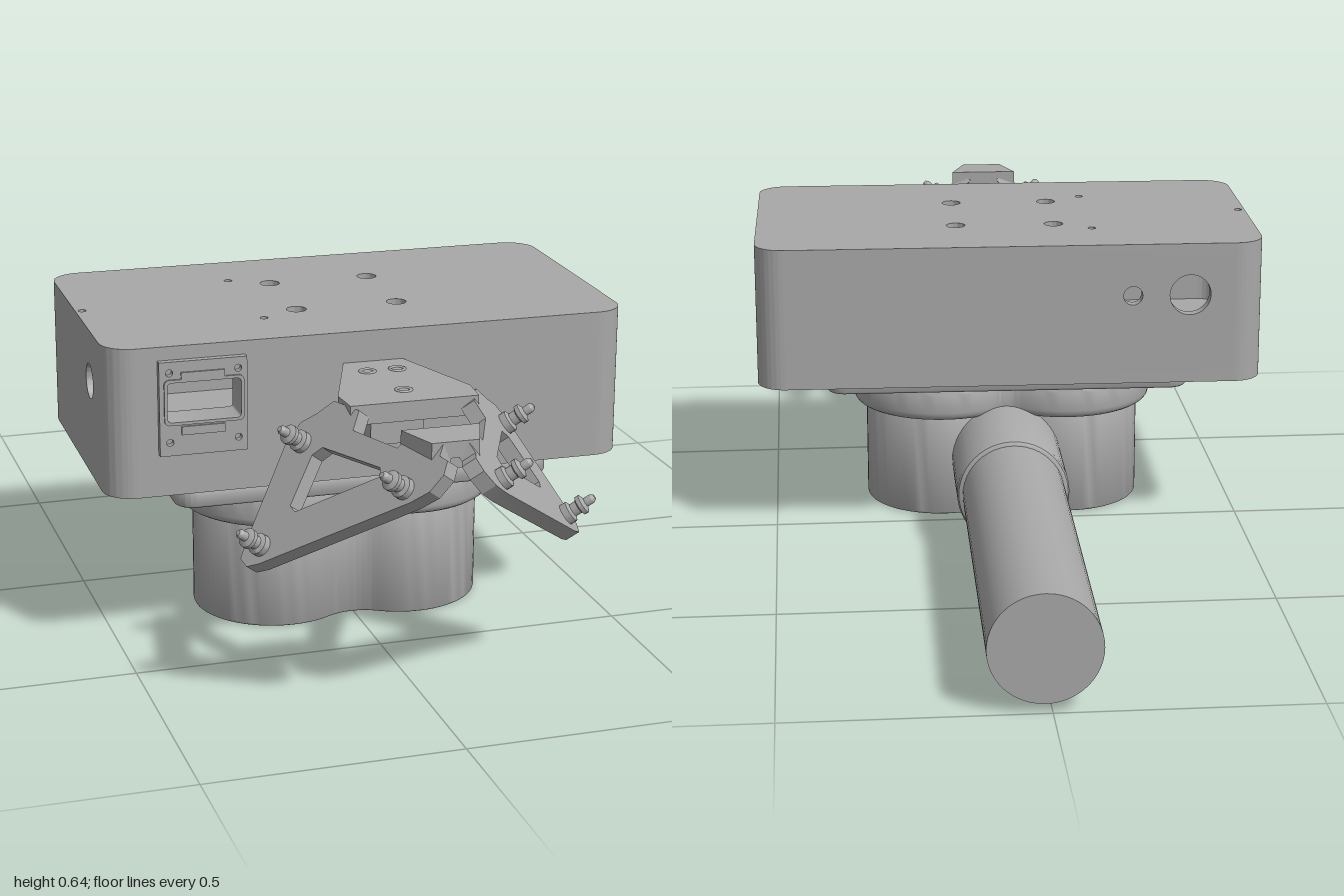
import * as THREE from 'three';
import { toCreasedNormals } from 'three/addons/utils/BufferGeometryUtils.js';

const grey = new THREE.MeshStandardMaterial({ color: 0xa8a8a8 });
grey.name = 'grey';

export function createModel() {
  const model = new THREE.Group();
  const body = new THREE.Group();
  body.name = 'cameraAssembly';
  body.rotation.y = -0.014; // whole assembly sits slightly askew
  model.add(body);

  const add = (name, geo, parent = body) => {
    const m = new THREE.Mesh(geo, grey);
    m.name = name;
    parent.add(m);
    return m;
  };
  const poly = (pts) => new THREE.Shape(pts.map(([x, y]) => new THREE.Vector2(x, y)));
  const rect = (x0, x1, y0, y1) => poly([[x0, y0], [x1, y0], [x1, y1], [x0, y1]]);
  const circle = (x, y, r) => new THREE.Path().absarc(x, y, r, 0, Math.PI * 2, true);
  const withHoles = (shape, holes) => { shape.holes.push(...holes); return shape; };
  const roundRect = (x0, x1, y0, y1, r) => {
    const s = new THREE.Shape();
    s.absarc(x1 - r, y1 - r, r, 0, Math.PI / 2);
    s.absarc(x0 + r, y1 - r, r, Math.PI / 2, Math.PI);
    s.absarc(x0 + r, y0 + r, r, Math.PI, Math.PI * 1.5);
    s.absarc(x1 - r, y0 + r, r, Math.PI * 1.5, Math.PI * 2);
    s.closePath();
    return s;
  };
  const extrude = (shape, depth, b = 0) => {
    const g = new THREE.ExtrudeGeometry(shape, {
      depth: depth - 2 * b, bevelEnabled: b > 0, bevelSize: b, bevelThickness: b,
      bevelOffset: -b, bevelSegments: 4, curveSegments: 20,
    });
    return toCreasedNormals(g.translate(0, 0, b), 0.6);
  };
  // horizontal slab from a plan drawn in x and z
  const slab = (shape, y0, y1, b = 0) =>
    extrude(shape, y1 - y0, b).rotateX(Math.PI / 2).translate(0, y1, 0);

  // --- hollow housing
  const X = 0.53, Z0 = -0.123, Z1 = 0.457, Y0 = 0.345, Y1 = 0.645, T = 0.025, R = 0.06;
  const topHoles = [
    ...[[-0.103, 0.067], [0.106, 0.067], [-0.103, 0.272], [0.106, 0.272]].map(([x, z]) => circle(x, z, 0.02)),
    ...[[-0.181, 0.024], [-0.181, 0.315], [-0.516, 0.167]].map(([x, z]) => circle(x, z, 0.008)),
  ];
  add('housingTop', slab(withHoles(roundRect(-X, X, Z0, Z1, R), topHoles), Y1 - T, Y1));
  add('housingBottom', slab(roundRect(-X, X, Z0, Z1, R), Y0, Y0 + T));
  const wall = (a0, a1) => rect(a0 + R, a1 - R, Y0 + T, Y1 - T);
  const opening = () => roundRect(-0.414, -0.269, 0.498, 0.577, 0.008);
  add('housingFront', extrude(withHoles(wall(-X, X), [opening()]), T).translate(0, 0, Z1 - T));
  add('housingBack', extrude(withHoles(wall(-X, X),
    [circle(-0.374, 0.535, 0.043), circle(-0.254, 0.535, 0.02)]), T).translate(0, 0, Z0));
  add('housingLeft', extrude(wall(Z0, Z1), T).rotateY(-Math.PI / 2).translate(X, 0, 0));
  add('housingRight', extrude(withHoles(wall(Z0, Z1), [circle(0.3, 0.54, 0.035)]), T)
    .rotateY(-Math.PI / 2).translate(-X + T, 0, 0));
  [[X - R, Z1 - R], [-X + R, Z1 - R], [-X + R, Z0 + R], [X - R, Z0 + R]].forEach(([x, z], i) => {
    const a = i * Math.PI / 2, s = new THREE.Shape();
    s.absarc(x, z, R, a, a + Math.PI / 2, false);
    s.absarc(x, z, R - T, a + Math.PI / 2, a, true);
    s.closePath();
    add('housingCorner', slab(s, Y0 + T, Y1 - T));
  });

  // --- connector panel around the front opening
  const screwHoles = [-0.409, -0.274].flatMap((x) => [0.457, 0.596].map((y) => circle(x, y, 0.007)));
  add('connectorPanel', extrude(withHoles(rect(-0.429, -0.256, 0.43, 0.618),
    [opening(), ...screwHoles]), 0.014).translate(0, 0, Z1));
  add('connectorSleeve', extrude(withHoles(roundRect(-0.42, -0.263, 0.492, 0.583, 0.01), [opening()]), 0.07)
    .translate(0, 0, Z1 - 0.052));
  for (const y of [0.476, 0.584]) {
    add('connectorTab', new THREE.BoxGeometry(0.085, 0.017, 0.006).translate(-0.344, y + 0.004, Z1 + 0.015));
  }

  // --- mounting plate
  const plateHoles = [-0.34, 0.34].flatMap((x) => [0.03, 0.37].map((z) => circle(x, z, 0.014)));
  add('mountingPlate', slab(withHoles(roundRect(-0.387, 0.387, -0.027, 0.427, 0.04), plateHoles), 0.3, 0.345, 0.01));

  // --- twin-lobed base with filleted valleys
  const lobes = (r, f) => {
    const c = 0.135, z = 0.197, h = Math.sqrt((r + f) ** 2 - c * c), t = Math.atan2(h, c);
    const s = new THREE.Shape();
    s.absarc(c, z, r, -(Math.PI - t), Math.PI - t, false);
    s.absarc(0, z + h, f, -t, -(Math.PI - t), true);
    s.absarc(-c, z, r, t, Math.PI * 2 - t, false);
    s.absarc(0, z - h, f, Math.PI - t, t, true);
    s.closePath();
    return s;
  };
  add('lobedBase', slab(lobes(0.165, 0.1), 0.003, 0.24, 0.006));
  add('lobedRim', slab(lobes(0.192, 0.073), 0.225, 0.302, 0.018));

  // --- rear tube and its socket, turned about the z axis
  const lathe = (pts, seg = 48) =>
    toCreasedNormals(new THREE.LatheGeometry(pts.map(([r, y]) => new THREE.Vector2(r, y)), seg), 0.6);
  const backwards = (g) => g.rotateX(-Math.PI / 2).translate(0, 0.128, 0);
  add('tubeSocket', backwards(lathe([[0, -0.15], [0.118, -0.15], [0.118, 0.182], [0.115, 0.189], [0.108, 0.193], [0, 0.193]])));
  add('tube', backwards(lathe([[0, 0.1], [0.107, 0.1], [0.107, 0.998], [0, 0.998]])));

  // --- front bracket
  const bracketHoles = [[-0.031, 0.52], [0.029, 0.52], [0, 0.65]];
  add('bracketPlate', slab(withHoles(
    poly([[-0.06, 0.455], [0.06, 0.455], [0.13, 0.655], [0.125, 0.72], [-0.125, 0.72], [-0.13, 0.655]]),
    bracketHoles.map(([x, z]) => circle(x, z, 0.009))), 0.545, 0.583));
  for (const [x, z] of bracketHoles) {
    add('bracketWasher', new THREE.TorusGeometry(0.014, 0.004, 8, 24).rotateX(Math.PI / 2).translate(x, 0.582, z));
  }
  add('bracketBlock', new THREE.BoxGeometry(0.106, 0.085, 0.16).translate(0, 0.508, 0.535));
  add('bracketBridge', slab(poly([[-0.075, 0.865], [0.075, 0.865], [0.045, 0.95], [-0.045, 0.95]]), 0.548, 0.579));

  // --- sloping truss legs, drawn in z and y and sheared onto their plane
  const KZ = -0.404, KY = -0.777, OFF = 0.855, THICK = 0.03;
  const outline = [
    [0.995, 0.535], [0.992, 0.505], [0.97, 0.48], [0.757, 0.307], [0.735, 0.295], [0.71, 0.302],
    [0.697, 0.325], [0.622, 0.495], [0.624, 0.528], [0.645, 0.55], [0.662, 0.577], [0.73, 0.577],
    [0.748, 0.546], [0.865, 0.546], [0.872, 0.577], [0.95, 0.577], [0.96, 0.558], [0.982, 0.556],
  ];
  const mounts = [[0.66, 0.5], [0.94, 0.495], [0.735, 0.333]];
  const screw = [[0, 0], [0.021, 0], [0.021, 0.013], [0.013, 0.017], [0.013, 0.03], [0.019, 0.033],
    [0.019, 0.041], [0.009, 0.046], [0.009, 0.06], [0.005, 0.066], [0, 0.067]];
  for (const side of [1, -1]) {
    const leg = new THREE.Group();
    leg.name = side > 0 ? 'leftLeg' : 'rightLeg';
    body.add(leg);
    const n = new THREE.Vector3(side, -KY, -KZ).normalize();
    const hole = new THREE.Path([[0.872, 0.497], [0.86, 0.51], [0.71, 0.505], [0.7, 0.488], [0.733, 0.405], [0.752, 0.4]]
      .map(([z, y]) => new THREE.Vector2(z, y)));
    const depthAxis = new THREE.Vector3(-1, KY, KZ).normalize();
    if (side < 0) depthAxis.set(n.x, n.y, n.z);
    const m = new THREE.Matrix4().makeBasis(
      new THREE.Vector3(side * KZ, 0, 1), new THREE.Vector3(side * KY, 1, 0), depthAxis);
    const start = new THREE.Vector3(side * OFF, 0, 0);
    if (side < 0) start.addScaledVector(n, -THICK);
    m.setPosition(start);
    add('trussPlate', extrude(withHoles(poly(outline), [hole]), THICK).applyMatrix4(m), leg);
    for (const [z, y] of mounts) {
      const s = add('legStud', lathe(screw, 20), leg);
      s.quaternion.setFromUnitVectors(new THREE.Vector3(0, 1, 0), n);
      s.position.set(side * (OFF + KZ * z + KY * y), y, z);
    }
  }
  return model;
}
